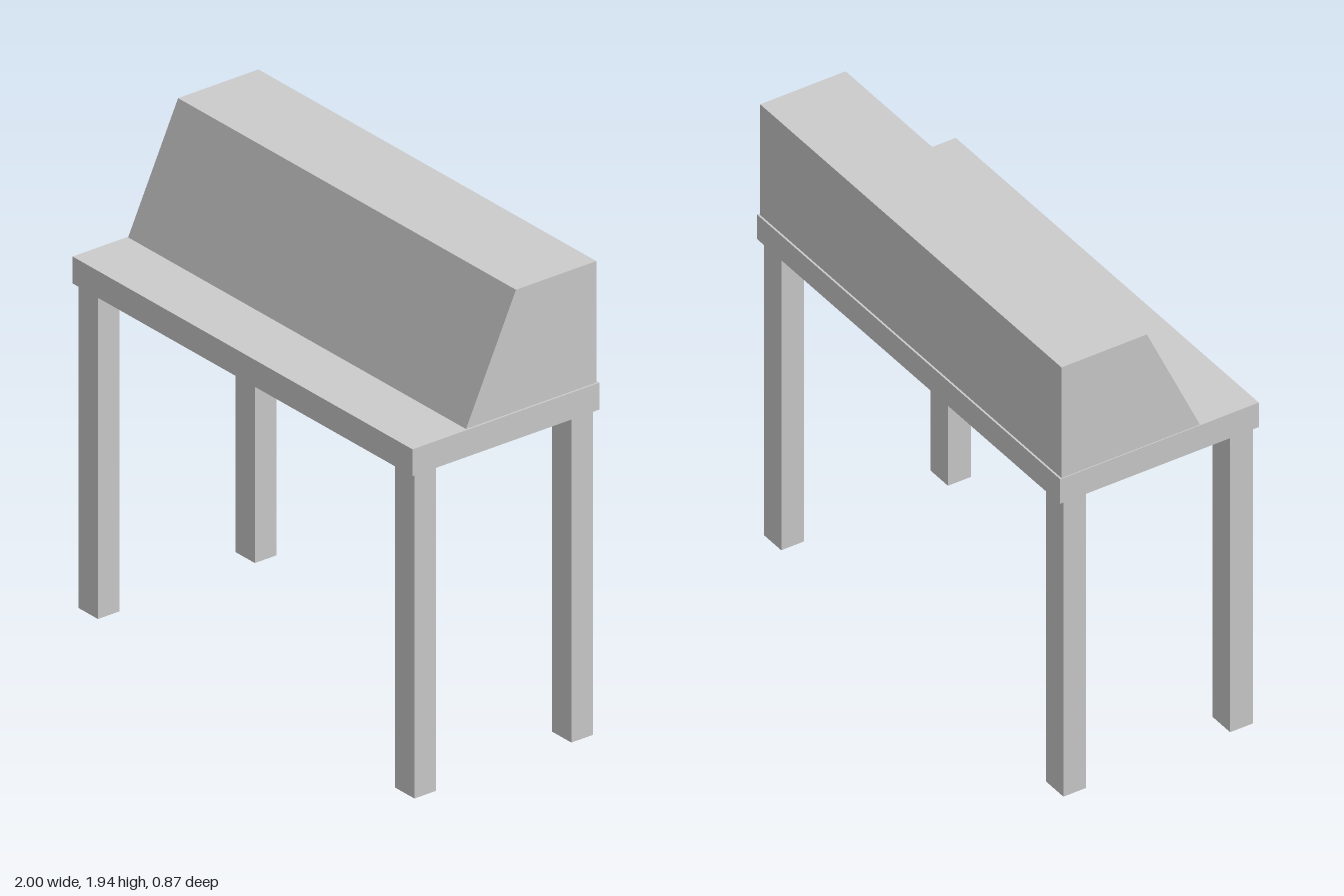
import * as THREE from 'three';

export function createModel() {
  const group = new THREE.Group();
  const material = new THREE.MeshStandardMaterial({ color: 0xcccccc, flatShading: true });

  const add = (name, geometry, x, y, z) => {
    const mesh = new THREE.Mesh(geometry, material);
    mesh.name = name;
    mesh.position.set(x, y, z);
    group.add(mesh);
    return mesh;
  };

  // Table top slab
  const legHeight = 1.33;
  const slabHeight = 0.11;
  add('tableTop', new THREE.BoxGeometry(2, slabHeight, 0.872), 0, legHeight + slabHeight / 2, 0);

  // Four square legs
  const legGeometry = new THREE.BoxGeometry(0.115, legHeight, 0.1);
  for (const [side, x] of [['Left', 0.93], ['Right', -0.932]]) {
    add(`front${side}Leg`, legGeometry, x, legHeight / 2, 0.367);
    add(`back${side}Leg`, legGeometry, x, legHeight / 2, -0.365);
  }

  // Cabinet with a sloping front: profile in (z, y), extruded along the width
  const profile = new THREE.Shape([
    new THREE.Vector2(-0.428, 0),
    new THREE.Vector2(0.18, 0),
    new THREE.Vector2(-0.053, 0.497),
    new THREE.Vector2(-0.428, 0.497),
  ]);
  const cabinet = new THREE.ExtrudeGeometry(profile, { depth: 1.988, bevelEnabled: false });
  cabinet.rotateY(-Math.PI / 2);
  add('slopedCabinet', cabinet, 0.992, legHeight + slabHeight, 0);

  return group;
}
